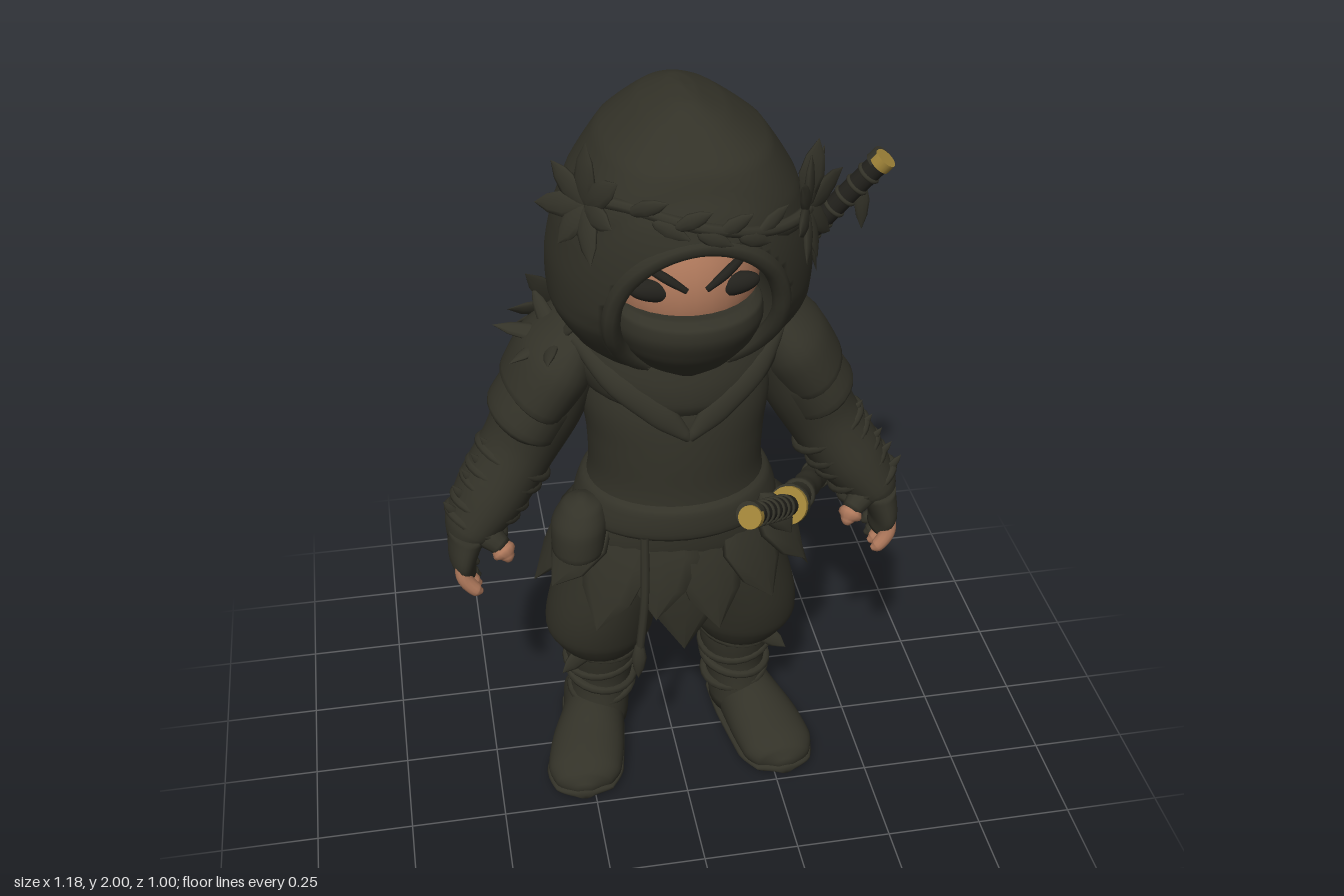
import * as THREE from 'three';

const mat = (name, color) => Object.assign(new THREE.MeshStandardMaterial({ color }), { name });
const V = (a) => new THREE.Vector3(...a);

export function createModel() {
  const root = new THREE.Group();
  root.name = 'hoodedWarrior';
  const cloth = mat('dark cloth', 0x333228);
  const grip = mat('black grip', 0x22211c);
  const skin = mat('skin', 0xae785b);
  const gold = mat('gold', 0x9e8238);

  const add = (name, geo, m = cloth) => {
    const mesh = new THREE.Mesh(geo, m);
    mesh.name = name;
    root.add(mesh);
    return mesh;
  };

  // Smooth closed skin over elliptical sections [x, y, z, ra, rb]; flat keeps the rings level, square fills out the front corners
  function loft(pts, { n = 24, steps = 5, ref = [0, 0, 1], flat = false, square = 0 } = {}) {
    const path = new THREE.CatmullRomCurve3(pts.map((p) => V(p.slice(0, 3))));
    const radii = new THREE.CatmullRomCurve3(pts.map((p) => new THREE.Vector3(p[3], p[4] ?? p[3], 0)));
    const rings = (pts.length - 1) * steps, pos = [], idx = [];
    for (let i = 0; i <= rings; i++) {
      const t = i / rings, c = path.getPoint(t), r = radii.getPoint(t);
      const T = flat ? new THREE.Vector3(0, 1, 0) : path.getTangent(t);
      const W = V(ref).addScaledVector(T, -V(ref).dot(T)).normalize();
      const U = new THREE.Vector3().crossVectors(W, T);
      for (let j = 0; j < n; j++) {
        const a = (j / n) * Math.PI * 2, f = 1 + (Math.sin(a) > 0 ? square * Math.sin(2 * a) ** 2 : 0);
        const p = c.clone().addScaledVector(U, f * r.x * Math.cos(a)).addScaledVector(W, f * r.y * Math.sin(a));
        pos.push(p.x, p.y, p.z);
        if (i < rings) {
          const k = (j + 1) % n, q = i * n;
          idx.push(q + j, q + k, q + n + k, q + j, q + n + k, q + n + j);
        }
      }
    }
    const s = rings * n + n, first = pts[0], last = pts[pts.length - 1];
    pos.push(...first.slice(0, 3), ...last.slice(0, 3));
    for (let j = 0; j < n; j++) {
      const k = (j + 1) % n;
      idx.push(s, k, j, s + 1, rings * n + j, rings * n + k);
    }
    const g = new THREE.BufferGeometry();
    g.setAttribute('position', new THREE.Float32BufferAttribute(pos, 3));
    g.setIndex(idx);
    g.computeVertexNormals();
    return g;
  }
  // Level section given by height, half width, front z and back z
  const row = (y, rx, front, back, x = 0) => [x, y, (front + back) / 2, rx, (front - back) / 2];

  const ball = (name, m, c, r, tilt = 0) => {
    const b = add(name, new THREE.SphereGeometry(1, 32, 24), m);
    b.position.set(...c);
    b.scale.set(...r);
    b.rotation.z = tilt;
  };
  const rod = (name, m, a, b, r, dz = 0) => {
    const d = V(b).sub(V(a));
    const c = add(name, new THREE.CylinderGeometry(r, r, d.length(), 20), m);
    c.position.copy(V(a)).addScaledVector(d, 0.5);
    c.position.z += dz;
    c.quaternion.setFromUnitVectors(new THREE.Vector3(0, 1, 0), d.normalize());
  };
  const ring = (name, c, dir, r, tube) => {
    const t = add(name, new THREE.TorusGeometry(r, tube, 8, 24));
    t.position.set(...c);
    t.quaternion.setFromUnitVectors(new THREE.Vector3(0, 0, 1), V(dir).normalize());
  };
  const cord = (name, pts, r, closed = false) =>
    add(name, new THREE.TubeGeometry(new THREE.CatmullRomCurve3(pts.map(V), closed), 64, r, 8, closed));

  // Pointed leaf from base to tip, facing along normal
  const leafGeo = new THREE.LatheGeometry(
    [[0, 0], [0.3, 0.12], [0.5, 0.42], [0.36, 0.72], [0, 1]].map((p) => new THREE.Vector2(...p)), 10);
  function leaf(name, base, tip, width, normal, thick = 0.02) {
    const Y = V(tip).sub(V(base)), len = Y.length();
    Y.normalize();
    const Z = V(normal).addScaledVector(Y, -V(normal).dot(Y)).normalize();
    const m = add(name, leafGeo);
    m.position.set(...base);
    m.quaternion.setFromRotationMatrix(new THREE.Matrix4().makeBasis(new THREE.Vector3().crossVectors(Y, Z), Y, Z));
    m.scale.set(width, len, thick);
  }
  // Fan of leaves lying across an outward normal
  function cluster(name, c, normal, lengths, width, lift = 0.35) {
    const N = V(normal).normalize();
    const A = new THREE.Vector3(0, 1, 0).addScaledVector(N, -N.y).normalize();
    const B = new THREE.Vector3().crossVectors(N, A);
    lengths.forEach((l, i) => {
      const a = (i / lengths.length) * Math.PI * 2;
      const tip = V(c).addScaledVector(A, l * Math.cos(a)).addScaledVector(B, l * Math.sin(a)).addScaledVector(N, l * lift);
      leaf(name, c, tip.toArray(), width, normal);
    });
  }

  // Hood with the face opening pressed in and its edge drawn forward
  const hoodRows = [row(1.33, 0.17, 0.21, -0.08), row(1.4, 0.25, 0.27, -0.15), row(1.5, 0.305, 0.32, -0.19),
    row(1.6, 0.308, 0.345, -0.2), row(1.7, 0.29, 0.37, -0.2), row(1.8, 0.255, 0.385, -0.185),
    row(1.9, 0.19, 0.355, -0.14), row(1.965, 0.1, 0.265, -0.06), row(1.993, 0.035, 0.19, 0.02), row(2.0, 0.005, 0.12, 0.09)];
  const hood = loft(hoodRows, { n: 96, steps: 8, flat: true, square: 0.08 });
  const hp = hood.attributes.position;
  const push = (x, y) => {
    const e = Math.hypot(x / 0.19, (y - 1.54) / 0.21);
    if (e < 1) return -0.28 * Math.min(1, (1 - e) * 6);
    return 0.035 * Math.max(0, 1 - (e - 1) / 0.5) * THREE.MathUtils.clamp((y - 1.4) / 0.15, 0, 1);
  };
  for (let i = 0; i < hp.count; i++) {
    if (hp.getZ(i) > 0.1) hp.setZ(i, hp.getZ(i) + push(hp.getX(i), hp.getY(i)));
  }
  hood.computeVertexNormals();
  add('hood', hood);
  const hoodZ = (x, y) => {
    const i = Math.max(0, hoodRows.findIndex((r) => r[1] > y) - 1), a = hoodRows[i], b = hoodRows[i + 1];
    const t = (y - a[1]) / (b[1] - a[1]), mix = (k) => a[k] + (b[k] - a[k]) * t;
    const u = Math.min(1, Math.abs(x) / mix(3));
    return mix(2) + mix(4) * (1 - u ** 2.57) ** (1 / 2.57) + push(x, y);
  };
  const rim = [];
  for (let i = 0; i < 24; i++) {
    const a = (i / 24) * Math.PI * 2, x = 0.192 * Math.cos(a), y = 1.544 + 0.212 * Math.sin(a);
    rim.push([x, y, hoodZ(x, y) - 0.014]);
  }
  cord('hoodRim', rim, 0.022, true);

  // Face, mask and eyes
  ball('face', skin, [0, 1.58, 0.12], [0.182, 0.2, 0.2]);
  add('mask', loft([row(1.335, 0.05, 0.24, 0.1), row(1.37, 0.115, 0.285, 0.05), row(1.43, 0.16, 0.335, 0.03), row(1.49, 0.176, 0.365, 0.03),
    row(1.525, 0.172, 0.365, 0.03), row(1.54, 0.155, 0.335, 0.05)], { n: 40, flat: true }));
  ball('headband', cloth, [0, 1.76, 0.15], [0.22, 0.1, 0.23]);
  for (const s of [-1, 1]) {
    ball('eye', grip, [s * 0.09, 1.595, 0.283], [0.06, 0.027, 0.024], s * 0.16);
    ball('templeCloth', cloth, [s * 0.165, 1.66, 0.2], [0.06, 0.055, 0.085], s * -0.5);
    add('brow', loft([[s * 0.022, 1.605, 0.319, 0.007], [s * 0.07, 1.635, 0.302, 0.012], [s * 0.13, 1.66, 0.252, 0.007]], { n: 8 }), grip);
  }

  // Wreath of leaves around the brow
  cord('wreathVine', [[-0.262, 1.76, 0.13], [-0.245, 1.82, 0.25], [-0.16, 1.83, hoodZ(-0.16, 1.83)], [0, 1.8, hoodZ(0, 1.8)],
    [0.15, 1.765, hoodZ(0.15, 1.765)], [0.25, 1.76, 0.28], [0.28, 1.74, 0.13]], 0.014);
  for (let i = 0; i < 9; i++) {
    const x = -0.2 + i * 0.045, y = 1.83 - i * 0.009, up = i % 2 ? 0.04 : -0.035;
    leaf('wreathLeaf', [x, y, hoodZ(x, y) + 0.005], [x + 0.08, y + up, hoodZ(x + 0.08, y) + 0.015], 0.04, [x, 0, 0.4]);
  }
  cluster('wreathLeaf', [0.25, 1.77, 0.29], [0.85, 0.1, 0.45], [0.13, 0.13, 0.14, 0.13, 0.12, 0.15, 0.22, 0.15], 0.06, 0.12);
  cluster('wreathLeaf', [0.27, 1.73, 0.18], [1, 0.1, 0.2], [0.1, 0.12, 0.13, 0.18, 0.17, 0.12], 0.06, 0.1);
  cluster('wreathLeaf', [-0.24, 1.82, 0.29], [-0.75, 0.2, 0.6], [0.14, 0.12, 0.13, 0.11, 0.13, 0.1, 0.13], 0.06, 0.15);
  leaf('wreathLeaf', [0.25, 1.78, 0.27], [0.27, 1.93, 0.28], 0.06, [0, 0, 1]);

  // Torso, cowl and belt
  add('torso', loft([row(0.72, 0.24, 0.19, -0.16), row(0.8, 0.265, 0.225, -0.17), row(0.9, 0.235, 0.235, -0.165),
    row(1, 0.218, 0.235, -0.155), row(1.1, 0.222, 0.24, -0.155), row(1.2, 0.235, 0.235, -0.16),
    row(1.32, 0.22, 0.2, -0.155), row(1.42, 0.13, 0.15, -0.1)], { n: 40, flat: true }));
  add('cowl', loft([row(1.2, 0.16, 0.22, -0.15), row(1.25, 0.235, 0.245, -0.172), row(1.32, 0.265, 0.24, -0.172),
    row(1.39, 0.26, 0.22, -0.16), row(1.44, 0.2, 0.17, -0.12)], { n: 40, flat: true }));
  for (const s of [-1, 1]) {
    add('cowlFold', loft([[s * 0.25, 1.38, 0.1, 0.015], [s * 0.16, 1.3, 0.19, 0.035, 0.02],
      [s * 0.07, 1.23, 0.228, 0.035, 0.018], [0, 1.16, 0.238, 0.012]]));
  }
  add('belt', loft([row(0.84, 0.24, 0.22, -0.16), row(0.87, 0.262, 0.25, -0.18), row(0.94, 0.24, 0.25, -0.178),
    row(0.97, 0.2, 0.22, -0.15)], { n: 40, flat: true }));
  add('pouch', loft([row(0.77, 0.02, 0.17, 0.12, -0.27), row(0.8, 0.065, 0.22, 0.07, -0.265), row(0.87, 0.07, 0.22, 0.06, -0.26),
    row(0.93, 0.05, 0.19, 0.08, -0.25), row(0.95, 0.01, 0.15, 0.12, -0.25)], { flat: true }));

  // Ragged skirt and long front and back panels
  for (let i = 0; i < 14; i++) {
    const a = ((i + 0.5) / 14) * Math.PI * 2, sx = Math.sin(a), cz = Math.cos(a);
    leaf('skirtPanel', [0.2 * sx, 0.93, 0.02 + 0.16 * cz], [0.37 * sx, 0.56 + 0.05 * (i % 3), 0.02 + 0.225 * cz], 0.2, [sx, 0, cz], 0.05);
  }
  leaf('frontPanel', [0, 0.95, 0.19], [0, 0.46, 0.19], 0.24, [0, 0, 1], 0.07);
  leaf('backPanel', [0, 0.93, -0.15], [0, 0.45, -0.185], 0.26, [0, 0, -1], 0.06);
  for (const s of [-1, 1]) leaf('backPanel', [s * 0.09, 0.9, -0.16], [s * 0.15, 0.55, -0.195], 0.18, [0, 0, -1], 0.05);
  cord('beltCord', [[-0.11, 0.88, 0.24], [-0.115, 0.7, 0.26], [-0.13, 0.54, 0.265]], 0.011);
  leaf('cordTassel', [-0.13, 0.57, 0.265], [-0.135, 0.45, 0.27], 0.04, [0, 0, 1], 0.03);

  for (const s of [-1, 1]) {
    // Baggy trousers, wrapped shins and boots
    add('trouserLeg', loft([row(0.32, 0.07, 0.03, -0.13, s * 0.195), row(0.36, 0.115, 0.09, -0.165, s * 0.195), row(0.43, 0.145, 0.135, -0.17, s * 0.197),
      row(0.53, 0.145, 0.165, -0.165, s * 0.185), row(0.68, 0.135, 0.19, -0.155, s * 0.15), row(0.82, 0.12, 0.19, -0.155, s * 0.12)], { n: 32, flat: true }));
    add('shin', loft([row(0.06, 0.085, 0.05, -0.165, s * 0.205), row(0.2, 0.083, 0.03, -0.16, s * 0.19), row(0.3, 0.1, 0.045, -0.165, s * 0.19),
      row(0.38, 0.1, 0.06, -0.16, s * 0.195)], { flat: true }));
    [0.16, 0.21, 0.27, 0.33].forEach((y, i) =>
      ring('shinWrap', [s * 0.19, y, -0.063], [0.15 * (i % 2 ? 1 : -1), 1, 0.12], 0.084 + i * 0.005, 0.014));
    leaf('kneeLeaf', [s * 0.22, 0.37, 0.02], [s * 0.31, 0.3, 0.05], 0.06, [0, 0, 1]);
    const boot = loft([[s * 0.205, 0.05, -0.18, 0.06, 0.05], [s * 0.207, 0.055, -0.16, 0.08, 0.07], [s * 0.22, 0.075, -0.03, 0.085, 0.09],
      [s * 0.25, 0.06, 0.08, 0.1, 0.075], [s * 0.27, 0.045, 0.16, 0.1, 0.062], [s * 0.278, 0.035, 0.205, 0.075, 0.045],
      [s * 0.28, 0.03, 0.23, 0.02, 0.015]], { ref: [0, 1, 0], n: 32 });
    const bp = boot.attributes.position;
    for (let i = 0; i < bp.count; i++) bp.setY(i, Math.max(0.005, bp.getY(i)));
    boot.computeVertexNormals();
    add('boot', boot);
    add('sole', loft([[s * 0.205, 0.016, -0.19, 0.06, 0.016], [s * 0.21, 0.016, -0.15, 0.085, 0.016], [s * 0.225, 0.016, 0, 0.088, 0.016],
      [s * 0.265, 0.016, 0.13, 0.106, 0.016], [s * 0.278, 0.016, 0.21, 0.078, 0.016], [s * 0.28, 0.016, 0.235, 0.02, 0.012]], { ref: [0, 1, 0] }));

    // Sleeves, layered shoulder guards and wrist wraps
    add('sleeve', loft([[s * 0.545, 0.785, 0.045, 0.045, 0.07], [s * 0.525, 0.825, 0.035, 0.068, 0.095], [s * 0.46, 0.92, 0.015, 0.092, 0.11], [s * 0.385, 1.04, 0, 0.095, 0.11],
      [s * 0.32, 1.17, 0, 0.105, 0.125], [s * 0.24, 1.32, 0, 0.09, 0.13], [s * 0.17, 1.38, 0, 0.05, 0.08]]));
    add('shoulderGuard', loft([[s * 0.36, 1.17, 0.0, 0.04, 0.1], [s * 0.345, 1.19, 0, 0.095, 0.15], [s * 0.29, 1.28, 0, 0.1, 0.16],
      [s * 0.23, 1.37, 0, 0.06, 0.12], [s * 0.2, 1.4, 0, 0.01, 0.04]]));
    add('shoulderGuard', loft([[s * 0.385, 1.09, 0, 0.05, 0.09], [s * 0.37, 1.12, 0, 0.1, 0.135], [s * 0.32, 1.2, 0, 0.095, 0.14], [s * 0.29, 1.25, 0, 0.04, 0.1]]));
    for (let i = 0; i < 5; i++) {
      const x = s * (0.405 + i * 0.026), y = 1.0 - i * 0.04, z = 0.005 + i * 0.008;
      ring('sleeveWrap', [x, y, z], [s * 0.55 + (i % 2) * 0.15, -0.85, 0.15], 0.094 - i * 0.004, 0.013);
      leaf('sleeveThorn', [x + s * 0.04, y + 0.03, z + 0.03], [x + s * 0.08, y + 0.085, z + 0.03], 0.025, [0, 0, 1], 0.012);
    }

    // Gloved palm; the forward fingers and thumb are bare
    add('palm', loft([[s * 0.54, 0.7, 0.06, 0.022, 0.05], [s * 0.55, 0.75, 0.06, 0.036, 0.08], [s * 0.535, 0.82, 0.05, 0.048, 0.085]]));
    for (let i = 0; i < 4; i++) {
      const z = 0.01 + i * 0.034, d = i === 0 ? 0.015 : 0;
      add('finger', loft([[s * 0.51, 0.672 + d, z + 0.01, 0.006], [s * 0.525, 0.68 + d, z + 0.01, 0.018], [s * 0.552, 0.715, z + 0.005, 0.02], [s * 0.558, 0.76, z, 0.017]], { n: 12 }),
        i < 2 ? cloth : skin);
    }
    add('thumb', loft([[s * 0.437, 0.762, 0.125, 0.008], [s * 0.442, 0.777, 0.12, 0.02], [s * 0.465, 0.805, 0.1, 0.02]], { n: 12 }), skin);
    add('thumbGuard', loft([[s * 0.45, 0.797, 0.112, 0.025], [s * 0.49, 0.83, 0.085, 0.036], [s * 0.52, 0.84, 0.05, 0.03]], { n: 12 }));
  }

  // Feathery leaves on the shoulders
  cluster('shoulderLeaf', [-0.25, 1.35, -0.11], [-0.5, 0.5, -0.7], [0.14, 0.16, 0.15, 0.12, 0.12, 0.13, 0.14, 0.17], 0.06, 0.4);
  cluster('shoulderLeaf', [-0.29, 1.35, 0.03], [-0.6, 0.8, 0.3], [0.1, 0.12, 0.14, 0.12, 0.14, 0.13], 0.045, 0.5);
  for (let i = 0; i < 8; i++) {
    const x = -0.2 + i * 0.055;
    leaf('collarLeaf', [x, 1.34, -0.145], [x * 1.15, 1.22 + 0.02 * (i % 2), -0.195], 0.06, [0, 0, -1]);
  }

  // Sword: gold-faced pommel and guard, wrapped grip, knobbly scabbard that bows outward
  function sword(end, guard, tip, guardRadius, bow) {
    const a = V(end), g = V(guard), t = V(tip), d = g.clone().sub(a).normalize(), L = a.distanceTo(g);
    const at = (k) => a.clone().addScaledVector(d, k).toArray();
    rod('pommel', gold, at(0), at(0.025), 0.028, 0.006);
    rod('pommelBack', cloth, at(0.001), at(0.03), 0.031, -0.006);
    rod('swordGrip', grip, at(0.02), at(L), 0.027);
    for (let k = 0.06; k < L - 0.03; k += 0.042) ring('gripWrap', at(k), d.toArray(), 0.026, 0.006);
    rod('swordGuard', gold, at(L - 0.01), at(L + 0.006), guardRadius);
    rod('guardBack', cloth, at(L + 0.004), at(L + 0.02), guardRadius + 0.003, -0.005);
    const along = (k) => {
      const p = g.clone().lerp(t, k);
      p.z -= bow * Math.sin(k * Math.PI);
      return p.toArray();
    };
    const pts = [];
    for (let i = 0; i <= 8; i++) pts.push([...along(i / 8), i === 0 ? 0.045 : 0.036 * (i % 2 ? 1.08 : 0.95)]);
    add('scabbard', loft(pts, { n: 16, ref: [1, 0, 0] }));
    for (const k of [0.3, 0.97]) ring('scabbardBand', along(k), t.clone().sub(g).toArray(), 0.033, 0.012);
  }
  sword([0.52, 1.72, -0.035], [0.285, 1.4, -0.14], [-0.15, 0.93, -0.185], 0.06, 0.02);
  sword([0.095, 1.095, 0.48], [0.25, 0.935, 0.245], [0.52, 0.495, -0.475], 0.048, 0);
  leaf('hipKnot', [0.17, 1.0, 0.27], [0.25, 0.88, 0.285], 0.08, [0, 0, 1], 0.05);
  leaf('scabbardLeaf', [-0.06, 0.98, -0.19], [-0.12, 0.91, -0.26], 0.05, [0, 0, -1]);
  leaf('gripTassel', [0.47, 1.66, -0.05], [0.48, 1.52, -0.06], 0.04, [0, 0, 1]);
  return root;
}
